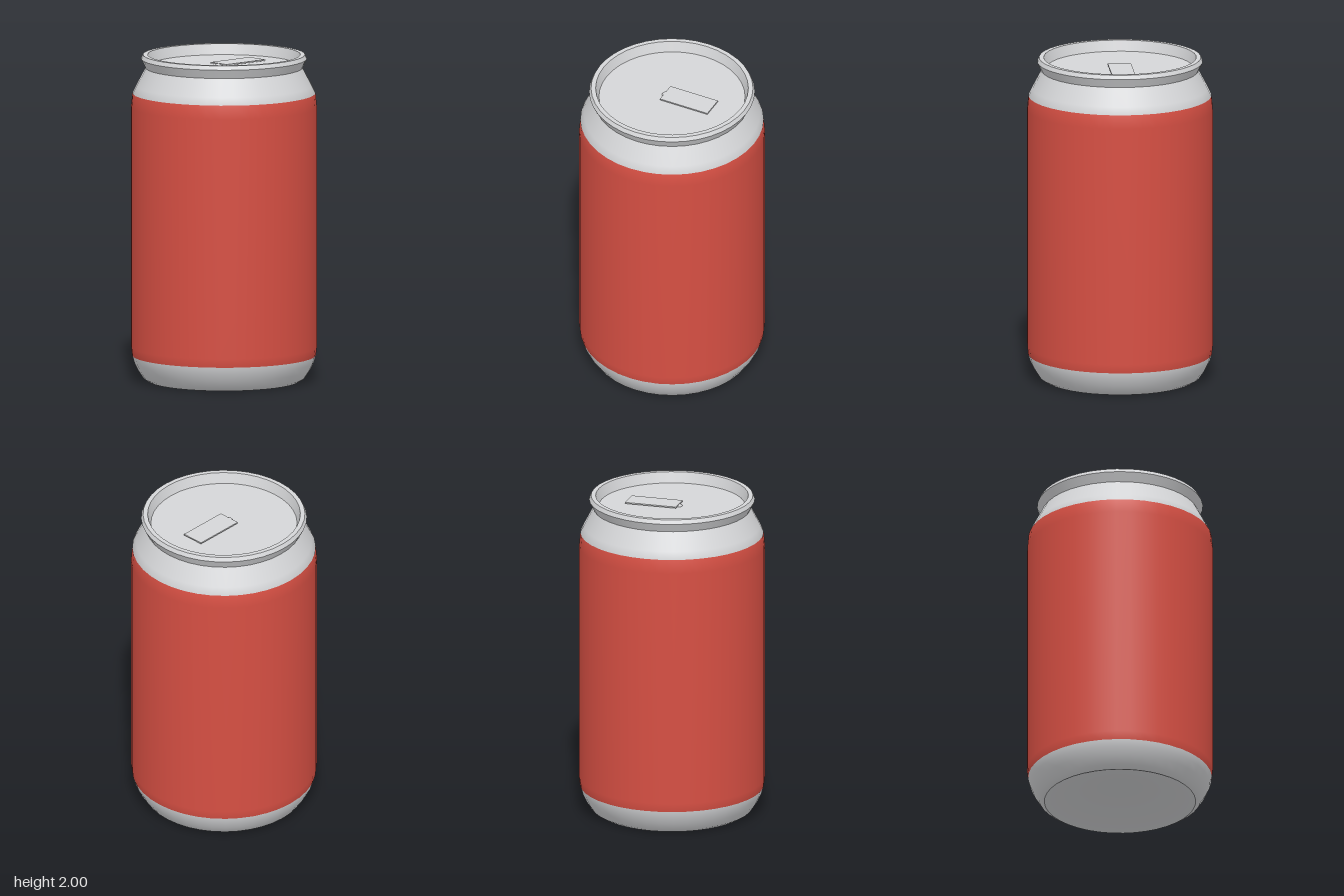
import * as THREE from 'three';

const SEGMENTS = 40;

const lathe = (points) =>
  new THREE.LatheGeometry(points.map(([r, y]) => new THREE.Vector2(r, y)), SEGMENTS);

// Keeps only the profile rows from..to of a lathe, with its smooth normals intact.
function latheRows(geometry, rows, from, to) {
  const source = geometry.index.array;
  const kept = [];
  for (let s = 0; s < SEGMENTS; s++) {
    for (let row = from; row < to; row++) {
      const start = (s * rows + row) * 6;
      for (let k = 0; k < 6; k++) kept.push(source[start + k]);
    }
  }
  const part = geometry.clone();
  part.setIndex(kept);
  return part;
}

export function createModel() {
  const can = new THREE.Group();
  can.name = 'drinkCan';

  const aluminium = new THREE.MeshStandardMaterial({ color: 0xd5d6d8 });
  aluminium.name = 'aluminium';
  const red = new THREE.MeshStandardMaterial({ color: 0xd64f43 });
  red.name = 'red paint';

  const add = (name, geometry, material) => {
    const mesh = new THREE.Mesh(geometry, material);
    mesh.name = name;
    can.add(mesh);
    return mesh;
  };

  // Outer wall: one smooth profile, split into bare metal and the painted band
  const wall = [
    [0.46, 0], [0.492, 0.02], [0.525, 0.07], [0.547, 0.115], [0.559, 0.157],
    [0.565, 0.21], [0.565, 1.68], [0.557, 1.765],
    [0.535, 1.81], [0.477, 1.92],
  ];
  const wallGeometry = lathe(wall);
  const rows = wall.length - 1;
  add('lowerWall', latheRows(wallGeometry, rows, 0, 4), aluminium);
  add('paintedBand', latheRows(wallGeometry, rows, 4, 7), red);
  add('neck', latheRows(wallGeometry, rows, 7, rows), aluminium);

  // Hollow domed base
  const dome = [];
  for (let i = 0; i <= 6; i++) {
    const t = i / 6;
    dome.push([0.46 * t, 0.1 * (1 - t * t)]);
  }
  add('baseDome', lathe(dome), aluminium);

  // Rim: each band is its own lathe so the edges stay sharp
  const rim = [
    ['rimFlare', [0.477, 1.92], [0.504, 1.975]],
    ['rimBevel', [0.504, 1.975], [0.492, 2]],
    ['rimTop', [0.492, 2], [0.464, 2]],
    ['rimInnerWall', [0.464, 2], [0.444, 1.935]],
    ['lid', [0.444, 1.935], [0, 1.935]],
  ];
  for (const [name, a, b] of rim) add(name, lathe([a, b]), aluminium);

  // Pull tab with its rivet
  const tab = add('pullTab', new THREE.BoxGeometry(0.142, 0.008, 0.322), aluminium);
  tab.position.set(0, 1.946, -0.115);
  const rivet = add('rivet', new THREE.SphereGeometry(0.027, 20, 10), aluminium);
  rivet.scale.y = 0.45;
  rivet.position.set(0, 1.937, 0.038);

  return can;
}
